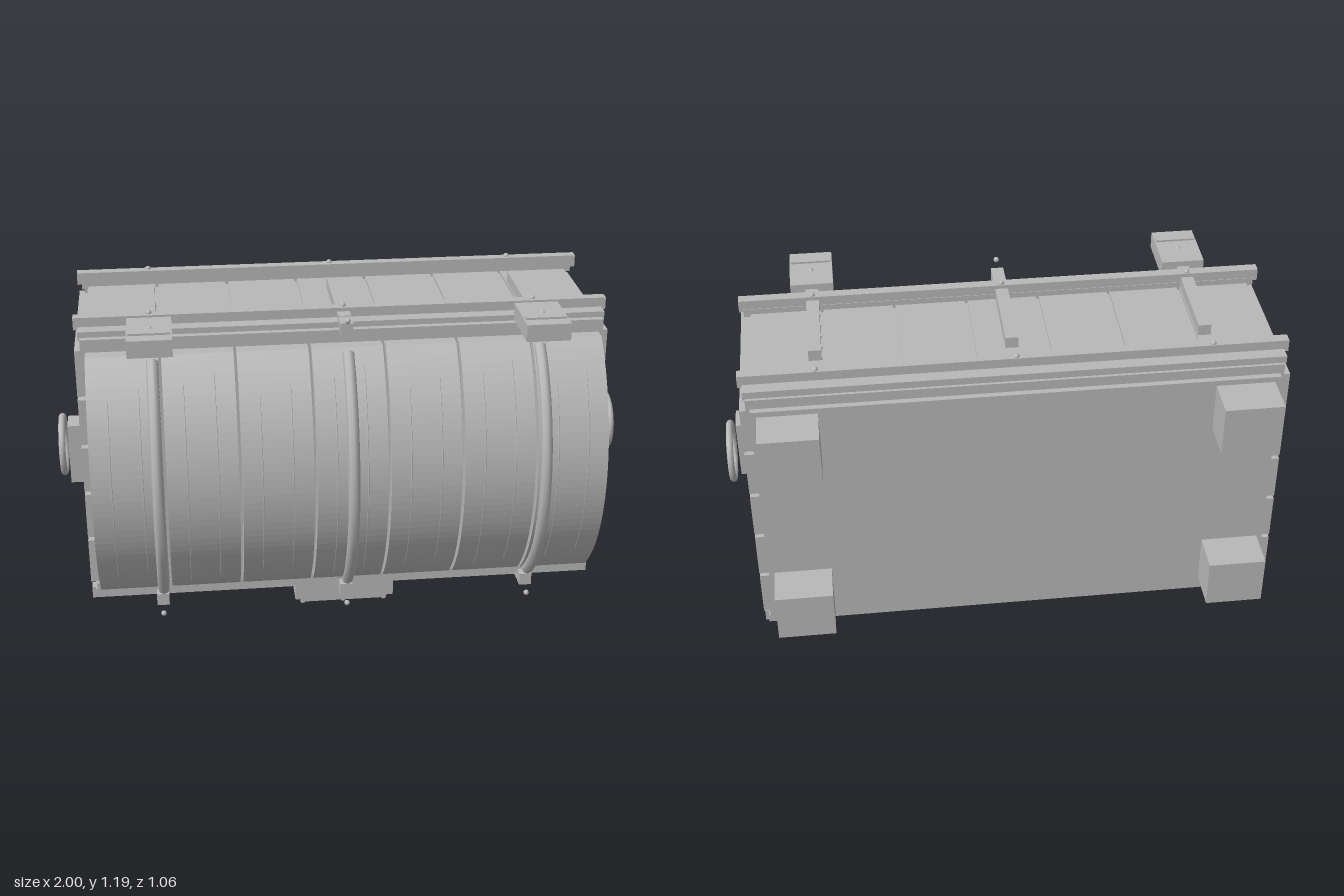
import * as THREE from 'three';

export function createModel() {
  const root = new THREE.Group();
  const grey = new THREE.MeshStandardMaterial({ color: 0xb8b8b8 });
  grey.name = 'plain grey';
  const MID = 0.63; // mid height; top and bottom mirror about it

  const add = (name, geo, x = 0, y = 0, z = 0) => {
    const m = new THREE.Mesh(geo, grey);
    m.name = name;
    m.position.set(x, y, z);
    root.add(m);
    return m;
  };
  // Box from its minimum and maximum corners
  const box = (name, x0, x1, y0, y1, z0, z1) =>
    add(name, new THREE.BoxGeometry(x1 - x0, y1 - y0, z1 - z0), (x0 + x1) / 2, (y0 + y1) / 2, (z0 + z1) / 2);
  // The same box above and mirrored below the middle
  const boxPair = (name, x0, x1, y0, y1, z0, z1) => {
    box(name, x0, x1, y0, y1, z0, z1);
    box(name, x0, x1, 2 * MID - y1, 2 * MID - y0, z0, z1);
  };
  const ball = (name, x, y, z, r = 0.01) => add(name, new THREE.SphereGeometry(r, 12, 8), x, y, z);

  // Chest body and flat back panel
  box('chestCore', -0.88, 0.88, 0.15, 1.11, -0.365, 0.235);
  box('backPanel', -0.88, 0.88, 0.18, 1.08, -0.39, -0.36);
  boxPair('rimTrim', -0.893, 0.893, 1.075, 1.12, 0.2, 0.237);
  boxPair('rimTrimBack', -0.893, 0.893, 1.075, 1.115, -0.37, -0.34);

  // Planks of the upper and lower faces
  for (let i = -3; i <= 3; i++) {
    const x = i * 0.252;
    boxPair('bodyPlank', x - 0.121, x + 0.121, 1.1, 1.12, -0.35, 0.21);
  }

  // Long edge boards, raised rails and their bolts
  boxPair('edgeBoard', -0.9, 0.9, 1.11, 1.14, 0.13, 0.215);
  boxPair('edgeBoard', -0.9, 0.9, 1.11, 1.14, -0.36, -0.285);
  for (const z of [0.15, -0.298]) {
    boxPair('rail', -0.915, 0.915, 1.13, 1.173, z - 0.018, z + 0.018);
    for (const x of [-0.66, 0, 0.66]) {
      ball('railBolt', x, 1.174, z - 0.005);
      ball('railBolt', x, 0.086, z - 0.005);
    }
  }

  // Cross bars with short lugs beside the lid
  for (const x of [-0.66, 0, 0.66]) {
    boxPair('crossBar', x - 0.022, x + 0.022, 1.115, 1.16, -0.175, 0.21);
    boxPair('lug', x - 0.022, x + 0.022, 1.112, 1.157, 0.2, 0.275);
    ball('lidBolt', x, 1.176, 0.3);
    ball('lidBolt', x, 0.084, 0.3);
  }

  for (const s of [-1, 1]) {
    // Side planks
    for (let i = 0; i < 5; i++) {
      const y = 0.184 + i * 0.181;
      box('sidePlank', s * 0.895 - 0.019, s * 0.895 + 0.019, y, y + 0.167, -0.37, 0.22);
    }
    // Handle mount and ring
    box('handleMount', s * 0.935 - 0.03, s * 0.935 + 0.03, 0.52, 0.74, 0, 0.09);
    add('handleRing', new THREE.TorusGeometry(0.1, 0.012, 10, 40), s * 0.988, MID, 0).rotation.y = Math.PI / 2;
    // Feet on the back
    boxPair('foot', s * 0.76 - 0.1, s * 0.76 + 0.1, 0.88, 1.06, -0.53, -0.38);
    // Hinges
    box('hinge', s * 0.66 - 0.075, s * 0.66 + 0.075, 1.12, 1.18, 0.205, 0.415);
    box('hingeStrip', s * 0.66 - 0.07, s * 0.66 + 0.07, 1.178, 1.187, 0.345, 0.368);
  }

  // Curved lid shell: shape x runs along +z, ends are cut level
  const R = 0.605, HALF = 0.445, N = 32;
  const arc = (apex, y) => apex - R + Math.sqrt(R * R - y * y);
  const outline = [];
  for (let i = 0; i <= N; i++) {
    const y = -HALF + (2 * HALF * i) / N;
    outline.push(new THREE.Vector2(arc(0.478, y), y));
  }
  for (let i = N; i >= 0; i--) {
    const y = -HALF + (2 * HALF * i) / N;
    outline.push(new THREE.Vector2(arc(0.43, y), y));
  }
  const stave = new THREE.ExtrudeGeometry(new THREE.Shape(outline), { depth: 0.242, bevelEnabled: false });
  stave.translate(0, 0, -0.121).rotateY(-Math.PI / 2);

  // Arc of round rod following the lid
  const rod = (name, x, radius, apex, tube, half, shift = 0) => {
    const a = Math.asin(half / radius);
    const geo = new THREE.TorusGeometry(radius, tube, 8, 40, 2 * a);
    geo.rotateZ(-a + shift).rotateY(-Math.PI / 2);
    add(name, geo, x, MID, apex - radius);
    if (tube < 0.01) return;
    for (const s of [-1, 1]) {
      const cap = ball('bandEnd', x, MID + s * half, apex - radius + radius * Math.cos(a), tube);
      cap.scale.set(1, 0.3, 1);
      cap.rotation.x = -s * a;
    }
  };
  for (let i = -3; i <= 3; i++) {
    const x = i * 0.252;
    add('lidStave', stave, x, MID, 0);
    // Fine grain lines
    for (const s of [-1, 1]) rod('grainLine', x + s * 0.052, R, 0.4765, 0.0025, 0.34 + 0.04 * ((i + s + 4) % 2), 0.03 * s);
  }
  for (const x of [-0.655, 0, 0.655]) rod('lidBand', x, 0.583, 0.51, 0.02, 0.435);

  // Lock on the underside: base, plate, disc, ring and studs
  box('lockBase', -0.18, 0.18, 0.055, 0.13, -0.15, 0.21);
  box('lockPlate', -0.158, 0.158, 0.03, 0.057, -0.125, 0.187);
  add('lockDisc', new THREE.CylinderGeometry(0.105, 0.105, 0.012, 32), 0, 0.026, 0.027);
  add('lockRing', new THREE.TorusGeometry(0.107, 0.008, 8, 40), 0, 0.022, 0.027).rotation.x = Math.PI / 2;
  ball('lockKnob', 0, 0.015, 0.05, 0.015);
  for (const x of [-0.15, 0, 0.15])
    for (const z of [-0.118, 0.03, 0.178]) if (x || z !== 0.03) ball('lockStud', x, 0.029, z);
  return root;
}
